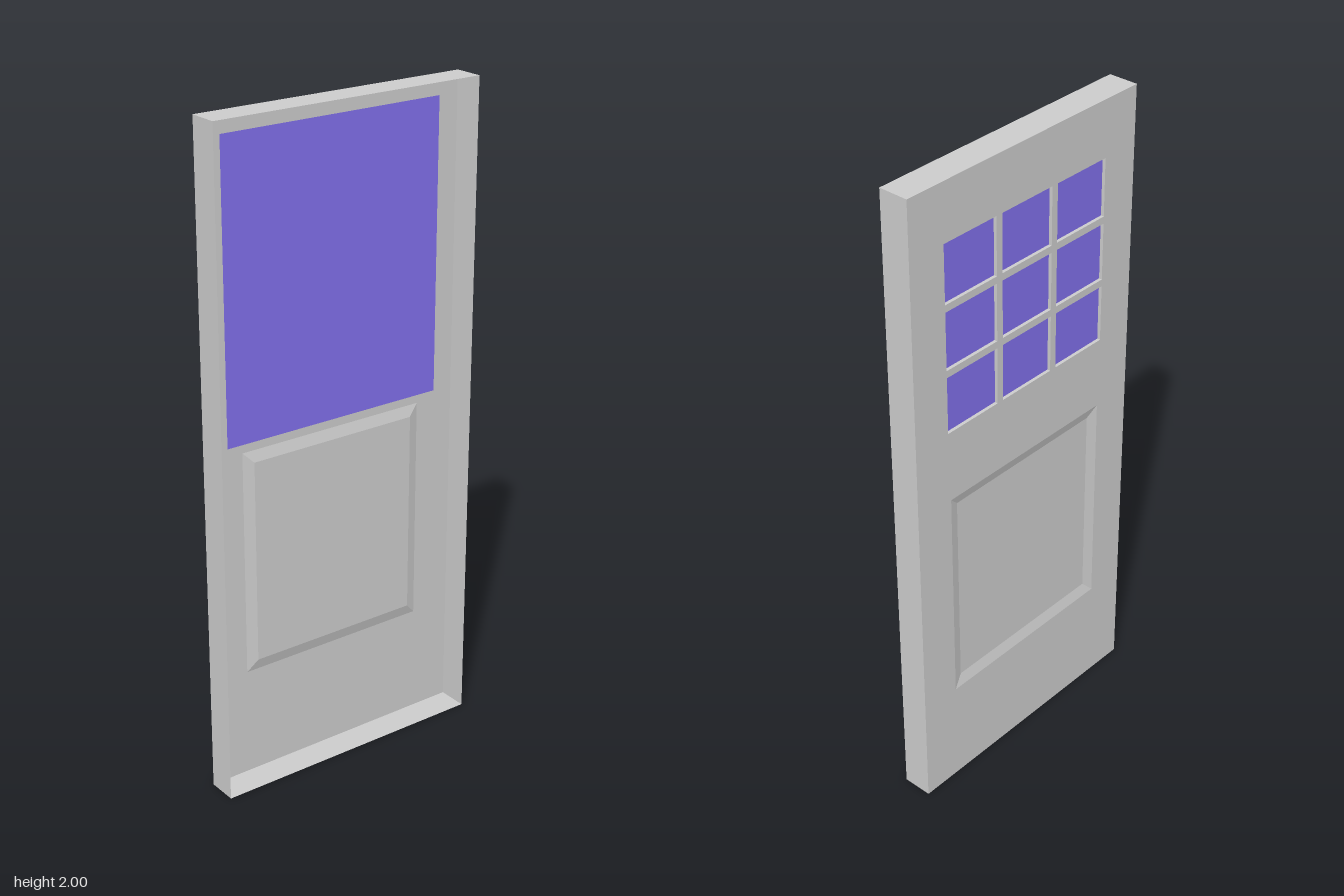
import * as THREE from 'three';

const H = 2, HALF_W = 0.438, HALF_T = 0.046, RECESS = 0.01;
const OUT = -HALF_T, IN = OUT + RECESS;

// Rectangle as { z0, z1, y0, y1 }
const rect = (z0, z1, y0, y1) => ({ z0, z1, y0, y1 });

// Four corners of a rectangle lying at depth x
const ring = (r, x) => [[x, r.y0, r.z0], [x, r.y0, r.z1], [x, r.y1, r.z1], [x, r.y1, r.z0]];

// Four flat quads joining two rectangular rings
function band(a, b) {
  const pos = [];
  for (let i = 0; i < 4; i++) {
    const j = (i + 1) % 4;
    pos.push(...a[i], ...a[j], ...b[j], ...a[i], ...b[j], ...b[i]);
  }
  const g = new THREE.BufferGeometry();
  g.setAttribute('position', new THREE.Float32BufferAttribute(pos, 3));
  g.computeVertexNormals();
  return g;
}

const outline = (r, T) => new T([
  new THREE.Vector2(r.z0, r.y0), new THREE.Vector2(r.z1, r.y0),
  new THREE.Vector2(r.z1, r.y1), new THREE.Vector2(r.z0, r.y1),
]);

// Flat sheet facing -x at depth x, with optional rectangular holes
function sheet(r, x, holes = []) {
  const s = outline(r, THREE.Shape);
  s.holes = holes.map((h) => outline(h, THREE.Path));
  return new THREE.ShapeGeometry(s).rotateY(-Math.PI / 2).translate(x, 0, 0);
}

export function createModel() {
  const model = new THREE.Group();
  model.name = 'door';
  const grey = new THREE.MeshStandardMaterial({ color: 0xcccccc, side: THREE.DoubleSide, flatShading: true });
  const blue = new THREE.MeshStandardMaterial({ color: 0x806fea, side: THREE.DoubleSide, flatShading: true });
  const add = (name, geometry, material = grey) => {
    const m = new THREE.Mesh(geometry, material);
    m.name = name;
    model.add(m);
  };

  const door = rect(-HALF_W, HALF_W, 0, H);
  const panelOuter = rect(-0.31, 0.31, 0.335, 1.03);
  const panelInner = rect(-0.277, 0.277, 0.37, 0.997);

  // Three by three window openings separated by slim bars
  const win = rect(-0.315, 0.315, 1.253, 1.827), bar = 0.022;
  const pw = (win.z1 - win.z0 - 2 * bar) / 3, ph = (win.y1 - win.y0 - 2 * bar) / 3;
  const panes = [];
  for (let row = 0; row < 3; row++) {
    for (let col = 0; col < 3; col++) {
      const z = win.z0 + col * (pw + bar), y = win.y0 + row * (ph + bar);
      panes.push(rect(z, z + pw, y, y + ph));
    }
  }

  // Outer skin, and edge walls that leave the +x side open
  add('doorSkin', sheet(door, OUT, [panelOuter, ...panes]));
  add('edgeWalls', band(ring(door, OUT), ring(door, HALF_T)));

  // Lower panel pressed inward with a sloped border
  add('panelBevel', band(ring(panelOuter, OUT), ring(panelInner, IN)));
  add('panelCentre', sheet(panelInner, IN));

  // Short returns around each opening, with one glass sheet behind them
  panes.forEach((p) => add('windowReveal', band(ring(p, OUT), ring(p, IN))));
  add('glass', sheet(rect(-0.365, 0.365, 1.06, 1.94), IN), blue);

  return model;
}
